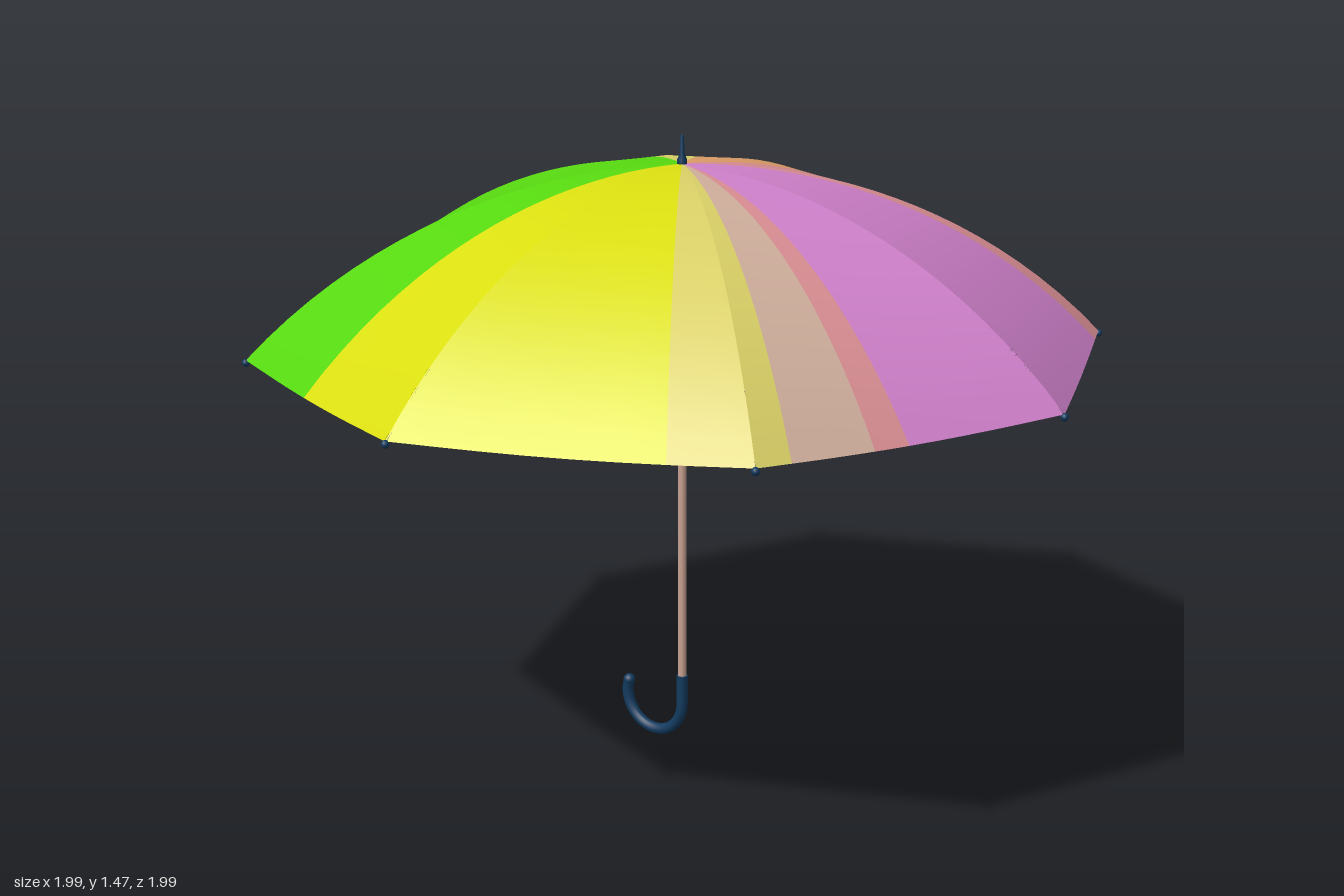
import * as THREE from 'three';
import { mergeGeometries } from 'three/addons/utils/BufferGeometryUtils.js';

const APEX = 1.415, RIM_Y = 0.995, RIM_R = 0.988, PANELS = 8;

const mat = (name, color, side = THREE.FrontSide) => {
  const m = new THREE.MeshStandardMaterial({ color, side });
  m.name = name;
  return m;
};

// Height of the dome (a circular arc) at the fraction rho from apex to rim
function domeHeight(rho) {
  const rise = APEX - RIM_Y;
  const R = (RIM_R * RIM_R + rise * rise) / (2 * rise);
  return APEX - R + Math.sqrt(R * R - (rho * RIM_R) ** 2);
}

function corner(k) {
  const a = (k * Math.PI * 2) / PANELS;
  return new THREE.Vector2(Math.cos(a), Math.sin(a)).multiplyScalar(RIM_R);
}

// Point on the canopy: u counts panels around from +x towards +z
function canopyPoint(panel, t, rho) {
  const p = corner(panel).lerp(corner(panel + 1), t).multiplyScalar(rho);
  const sag = 0.009 * Math.sin(Math.PI * t) * rho * rho;
  return [p.x, domeHeight(rho) - sag, p.y];
}

// Part of one panel between t0 and t1
function panelPiece(panel, t0, t1) {
  const rings = 20, cols = 6, pos = [], index = [];
  for (let r = 0; r <= rings; r++)
    for (let c = 0; c <= cols; c++)
      pos.push(...canopyPoint(panel, t0 + ((t1 - t0) * c) / cols, r / rings));
  for (let r = 0; r < rings; r++)
    for (let c = 0; c < cols; c++) {
      const a = r * (cols + 1) + c, b = a + cols + 1;
      if (r > 0) index.push(a, a + 1, b);
      index.push(a + 1, b + 1, b);
    }
  const g = new THREE.BufferGeometry();
  g.setAttribute('position', new THREE.Float32BufferAttribute(pos, 3));
  g.setIndex(index);
  g.computeVertexNormals();
  // The apex row is degenerate, so borrow normals from the next ring
  const n = g.attributes.normal;
  for (let c = 0; c <= cols; c++) {
    const s = c + cols + 1;
    n.setXYZ(c, n.getX(s), n.getY(s), n.getZ(s));
  }
  return g;
}

// One colour sector, creased at every rib it crosses
function sector(u0, u1) {
  const pieces = [];
  for (let k = Math.floor(u0); k < u1; k++)
    pieces.push(panelPiece(k, Math.max(u0 - k, 0), Math.min(u1 - k, 1)));
  return mergeGeometries(pieces);
}

export function createModel() {
  const group = new THREE.Group();
  group.name = 'umbrella';
  const add = (name, geometry, material, parent = group) => {
    const m = new THREE.Mesh(geometry, material);
    m.name = name;
    parent.add(m);
    return m;
  };

  const D = THREE.DoubleSide;
  const green = mat('green', 0x56d80f, D);
  const yellow = mat('yellow', 0xdade10, D);
  const khaki = mat('khaki', 0xd8ce66, D);
  const tan = mat('tan', 0xcfae9c, D);
  const rose = mat('rose', 0xd88d92, D);
  const pink = mat('pink', 0xcf80ca, D);
  const orange = mat('orange', 0xde9d68, D);
  const wood = mat('shaft tan', 0xc9a291);
  const navy = mat('navy', 0x123a5e);
  const dark = mat('rib dark', 0x40364a);

  // Canopy sectors
  const canopy = new THREE.Group();
  canopy.name = 'canopy';
  group.add(canopy);
  [
    ['roseFront', 0.52, 0.63, rose],
    ['tanFront', 0.63, 0.89, tan],
    ['khakiFront', 0.89, 1.235, khaki],
    ['yellowFront', 1.235, 2.557, yellow],
    ['greenSide', 2.557, 4.757, green],
    ['khakiBack', 4.757, 5.486, khaki],
    ['orangeBack', 5.486, 6.535, orange],
    ['roseBack', 6.535, 7.1, rose],
    ['pinkSide', 7.1, 8.52, pink],
  ].forEach(([name, u0, u1, m]) => add(name, sector(u0, u1), m, canopy));

  // Ribs under the canopy, each ending in a small tip
  for (let k = 0; k < PANELS; k++) {
    const pts = [];
    for (let i = 0; i <= 10; i++) {
      const [x, y, z] = canopyPoint(k, 0, i / 10);
      pts.push(new THREE.Vector3(x, y - 0.008, z));
    }
    const path = new THREE.CatmullRomCurve3(pts);
    add('rib', new THREE.TubeGeometry(path, 24, 0.006, 6), dark);
    const tip = add('ribTip', new THREE.SphereGeometry(0.009, 10, 8), navy);
    tip.position.copy(pts[10]).setY(RIM_Y - 0.006);
  }

  // Shaft
  const shaft = add('shaft', new THREE.CylinderGeometry(0.01, 0.01, 1.26, 16), wood);
  shaft.position.y = 0.78;

  // Ferrule on top
  const profile = [[0, 1.4], [0.012, 1.4], [0.011, 1.425], [0.006, 1.437], [0.004, 1.478], [0, 1.482]];
  add('ferrule', new THREE.LatheGeometry(profile.map(([x, y]) => new THREE.Vector2(x, y)), 14), navy);

  // Crook handle: straight sleeve and hook
  const R = 0.082, cy = 0.11;
  const pts = [new THREE.Vector3(0, 0.18, 0), new THREE.Vector3(0, 0.145, 0)];
  for (let i = 0; i <= 12; i++) {
    const a = -(i / 12) * Math.PI * 1.1;
    pts.push(new THREE.Vector3(-R + R * Math.cos(a), cy + R * Math.sin(a), 0));
  }
  add('handle', new THREE.TubeGeometry(new THREE.CatmullRomCurve3(pts), 48, 0.0135, 14), navy);
  const cap = add('handleEnd', new THREE.SphereGeometry(0.0145, 14, 10), navy);
  cap.position.copy(pts[pts.length - 1]);
  const collar = add('handleCollar', new THREE.CylinderGeometry(0.0135, 0.0135, 0.006, 14), navy);
  collar.position.y = 0.18;

  // Stand the handle on the ground
  const box = new THREE.Box3().setFromObject(group);
  group.children.forEach((c) => { if (c.name.startsWith('handle')) c.position.y -= box.min.y > 0.02 ? box.min.y - 0.014 : 0; });
  return group;
}
